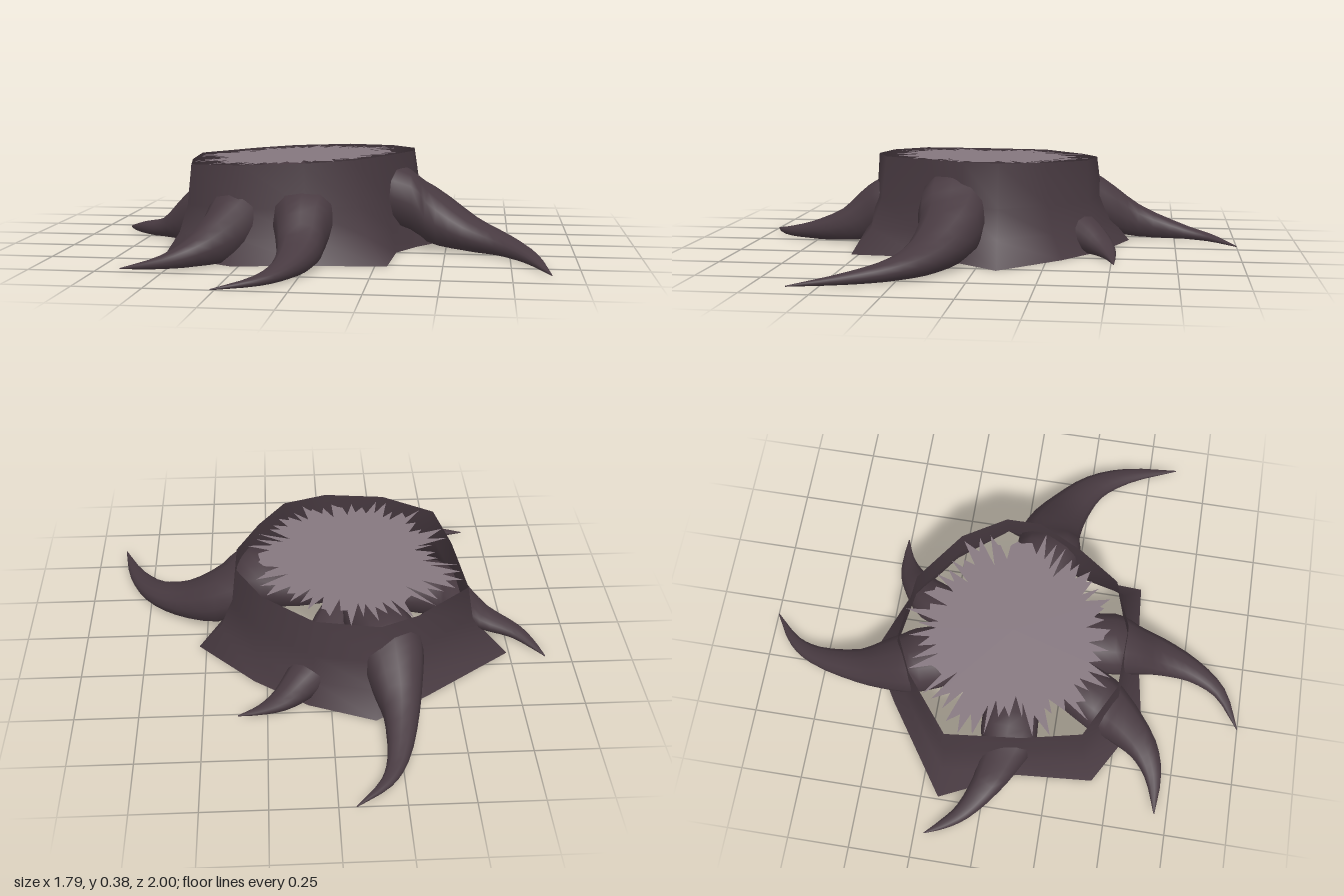
import * as THREE from 'three';

const bark = new THREE.MeshStandardMaterial({ color: 0x483a41, side: THREE.DoubleSide });
bark.name = 'bark';
const wood = new THREE.MeshStandardMaterial({ color: 0x85777f, side: THREE.DoubleSide });
wood.name = 'cut wood';

const CX = -0.1, CZ = 0.03;
const topY = (x, z) => 0.366 + 0.045 * x + 0.015 * z;

// Trunk corners: cut rim [x, z], then the flared foot [x, z]
const corners = [
  [-0.19, -0.42, -0.17, -0.56], [0.06, -0.39, 0.09, -0.46], [0.26, -0.24, 0.30, -0.31],
  [0.36, -0.07, 0.53, -0.08], [0.36, 0.07, 0.38, 0.12], [0.27, 0.25, 0.31, 0.25],
  [0.16, 0.41, 0.295, 0.53], [-0.02, 0.48, 0.02, 0.55], [-0.27, 0.47, -0.28, 0.60],
  [-0.48, 0.36, -0.575, 0.43], [-0.53, 0.13, -0.60, 0.12], [-0.56, -0.17, -0.74, -0.18],
  [-0.34, -0.35, -0.38, -0.43],
];

// Surface through closed loops of equal length
function skin(loops) {
  const n = loops[0].length, index = [];
  for (let i = 0; i < loops.length - 1; i++) {
    for (let j = 0; j < n; j++) {
      const a = i * n + j, b = i * n + (j + 1) % n, c = a + n, d = b + n;
      index.push(a, b, c, b, d, c);
    }
  }
  const g = new THREE.BufferGeometry();
  g.setAttribute('position', new THREE.Float32BufferAttribute(loops.flat(2), 3));
  g.setIndex(index);
  g.computeVertexNormals();
  return g;
}

// Open trunk wall: nearly upright above, flaring at the foot
function makeTrunk() {
  const levels = [[1, 0], [0.55, 0.15], [0.25, 0.45], [0, 1]];
  const loops = levels.map(([h, t]) => corners.map(([rx, rz, fx, fz]) =>
    [rx + (fx - rx) * t, topY(rx, rz) * h, rz + (fz - rz) * t]));
  const mesh = new THREE.Mesh(skin(loops), bark);
  mesh.name = 'trunk';
  return mesh;
}

// Root stations: [x, z, bottom, top, half width]; from just inside the trunk wall to a point
const roots = {
  backRoot: [[-0.235, -0.34, 0.08, 0.31, 0.13], [-0.25, -0.45, 0.03, 0.25, 0.11],
    [-0.26, -0.6, 0, 0.14, 0.07], [-0.23, -0.8, 0, 0.055, 0.04], [-0.18, -0.9, 0, 0.03, 0.024],
    [-0.065, -1.0, 0, 0.004, 0.002]],
  backRightRoot: [[0.06, -0.33, 0.02, 0.17, 0.09], [0.13, -0.41, 0, 0.125, 0.07],
    [0.2, -0.465, 0, 0.07, 0.048], [0.28, -0.495, 0, 0.03, 0.022], [0.365, -0.51, 0, 0.004, 0.002]],
  rightRoot: [[0.31, 0.11, 0.09, 0.335, 0.135], [0.44, 0.11, 0.02, 0.25, 0.125],
    [0.6, 0.17, 0, 0.135, 0.09], [0.73, 0.26, 0, 0.08, 0.06], [0.82, 0.4, 0, 0.045, 0.035],
    [0.89, 0.615, 0, 0.004, 0.002]],
  frontRoot: [[-0.03, 0.44, 0.05, 0.28, 0.125], [-0.025, 0.53, 0.01, 0.235, 0.1],
    [-0.02, 0.64, 0, 0.135, 0.08], [-0.05, 0.79, 0, 0.07, 0.05], [-0.12, 0.91, 0, 0.035, 0.028],
    [-0.265, 1.0, 0, 0.004, 0.002]],
  frontLeftRoot: [[-0.29, 0.42, 0.05, 0.27, 0.115], [-0.34, 0.52, 0, 0.2, 0.09],
    [-0.42, 0.62, 0, 0.11, 0.062], [-0.52, 0.675, 0, 0.05, 0.035], [-0.67, 0.7, 0, 0.004, 0.002]],
  leftRoot: [[-0.47, 0.07, 0.04, 0.27, 0.115], [-0.56, 0.05, 0, 0.2, 0.09],
    [-0.67, 0.005, 0, 0.085, 0.06], [-0.79, -0.07, 0, 0.05, 0.035], [-0.85, -0.14, 0, 0.025, 0.02],
    [-0.895, -0.21, 0, 0.004, 0.002]],
};

function makeRoot(name, stations) {
  // Hidden end: a broad cone that gathers under the middle of the cut
  const core = [CX, CZ, 0.15, 0.27, 0.04], first = stations[0];
  const middle = core.map((v, i) => v + (first[i] - v) * (i === 4 ? 0.8 : 0.5));
  const all = [core, middle, ...stations];
  const path = new THREE.CatmullRomCurve3(all.map(([x, z, b, t]) => new THREE.Vector3(x, (b + t) / 2, z)));
  const size = new THREE.CatmullRomCurve3(all.map(([, , b, t, w]) => new THREE.Vector3(w, (t - b) / 2, 0)));
  const steps = (all.length - 1) * 3, sides = 12, loops = [];
  const square = (v) => Math.sign(v) * Math.abs(v) ** 0.85;
  for (let i = 0; i <= steps; i++) {
    const p = path.getPoint(i / steps), s = size.getPoint(i / steps), d = path.getTangent(i / steps);
    const len = Math.hypot(d.x, d.z), sx = -d.z / len, sz = d.x / len;
    const loop = [];
    for (let j = 0; j < sides; j++) {
      const a = j / sides * Math.PI * 2, u = square(Math.cos(a)) * s.x;
      loop.push([p.x + sx * u, Math.max(0, p.y + square(Math.sin(a)) * s.y), p.z + sz * u]);
    }
    loops.push(loop);
  }
  const mesh = new THREE.Mesh(skin(loops), bark);
  mesh.name = name;
  return mesh;
}

// Distance from the centre to the rim along an angle
function rimRadius(angle) {
  const dx = Math.cos(angle), dz = Math.sin(angle);
  let best = 0;
  corners.forEach(([ax, az], i) => {
    const [bx, bz] = corners[(i + 1) % corners.length];
    const ex = bx - ax, ez = bz - az, det = dx * ez - dz * ex;
    const px = ax - CX, pz = az - CZ;
    const r = (px * ez - pz * ex) / det, t = (px * dz - pz * dx) / det;
    if (t >= -1e-6 && t <= 1 + 1e-6 && r > best) best = r;
  });
  return best;
}

// Splintered cut face: a fan with an irregular edge of long and short spikes
function makeCutFace() {
  let seed = 7;
  const rand = () => (seed = (seed * 16807) % 2147483647) / 2147483647;
  const count = 110, edge = [], pos = [];
  for (let i = 0; i < count; i++) {
    const a = (i + (rand() - 0.5) * 0.8) / count * Math.PI * 2;
    const f = i % 2 ? 0.76 + 0.25 * rand() : 0.62 + 0.2 * rand();
    const r = rimRadius(a) * f, x = CX + Math.cos(a) * r, z = CZ + Math.sin(a) * r;
    edge.push([x, topY(x, z) - 0.003, z]);
  }
  edge.forEach((p, i) => pos.push(CX, topY(CX, CZ) - 0.003, CZ, ...edge[(i + 1) % count], ...p));
  const g = new THREE.BufferGeometry();
  g.setAttribute('position', new THREE.Float32BufferAttribute(pos, 3));
  g.computeVertexNormals();
  const mesh = new THREE.Mesh(g, wood);
  mesh.name = 'cutFace';
  return mesh;
}

export function createModel() {
  const stump = new THREE.Group();
  stump.name = 'treeStump';
  stump.add(makeTrunk(), makeCutFace());
  for (const [name, stations] of Object.entries(roots)) stump.add(makeRoot(name, stations));
  return stump;
}
